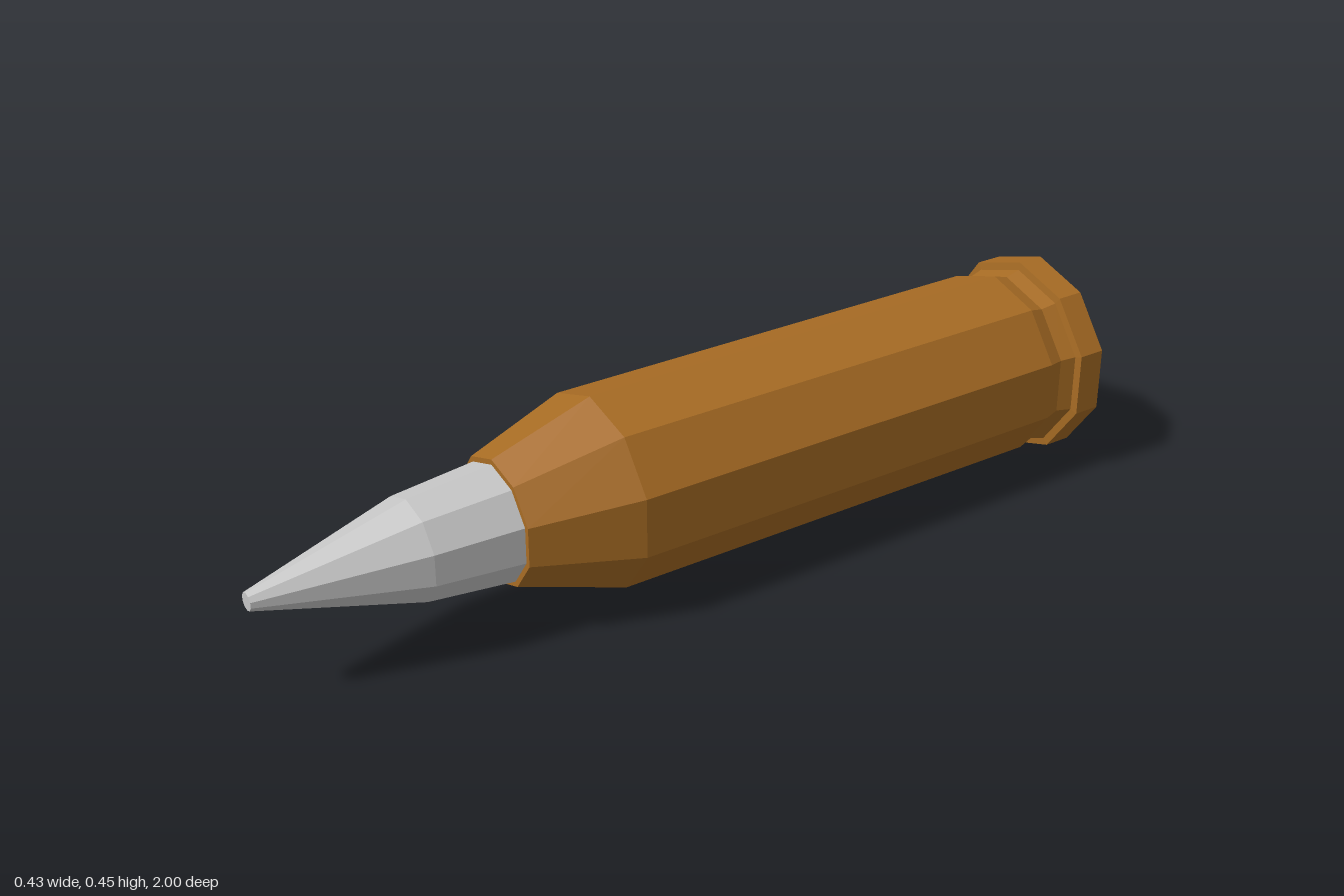
import * as THREE from 'three';

const SIDES = 10;
const CENTRE_Y = 0.228;

// Ten-sided faceted solid along z; profile is [radius, z] from rear to front
function turned(name, profile, material) {
  const points = profile.map(([r, z]) => new THREE.Vector2(r, z));
  const geometry = new THREE.LatheGeometry(points, SIDES).toNonIndexed();
  geometry.rotateX(Math.PI / 2);
  geometry.computeVertexNormals(); // unshared corners give flat facets
  const mesh = new THREE.Mesh(geometry, material);
  mesh.name = name;
  mesh.position.y = CENTRE_Y;
  return mesh;
}

export function createModel() {
  const brass = new THREE.MeshStandardMaterial({ color: 0xa86c24 });
  brass.name = 'brass';
  const steel = new THREE.MeshStandardMaterial({ color: 0xc6c6c6 });
  steel.name = 'steel';

  const group = new THREE.Group();
  group.name = 'cartridge';

  // Primer disc in the middle of the base
  group.add(turned('primer', [[0, -0.99], [0.062, -0.99]], steel));

  // Recessed base face, chamfered rim and its front step
  group.add(turned('rim', [
    [0.062, -0.99], [0.155, -0.99], [0.16, -1], [0.208, -1],
    [0.227, -0.99], [0.227, -0.926], [0.209, -0.924],
  ], brass));

  // Extractor groove, straight body, shoulder and mouth
  group.add(turned('casing', [
    [0.209, -0.924], [0.2, -0.888], [0.211, -0.85],
    [0.211, 0.24], [0.138, 0.47], [0.126, 0.47],
  ], brass));

  // Tapered bullet with a small flat tip
  group.add(turned('bullet', [
    [0.127, 0.465], [0.109, 0.66], [0.019, 1], [0, 1],
  ], steel));

  return group;
}
